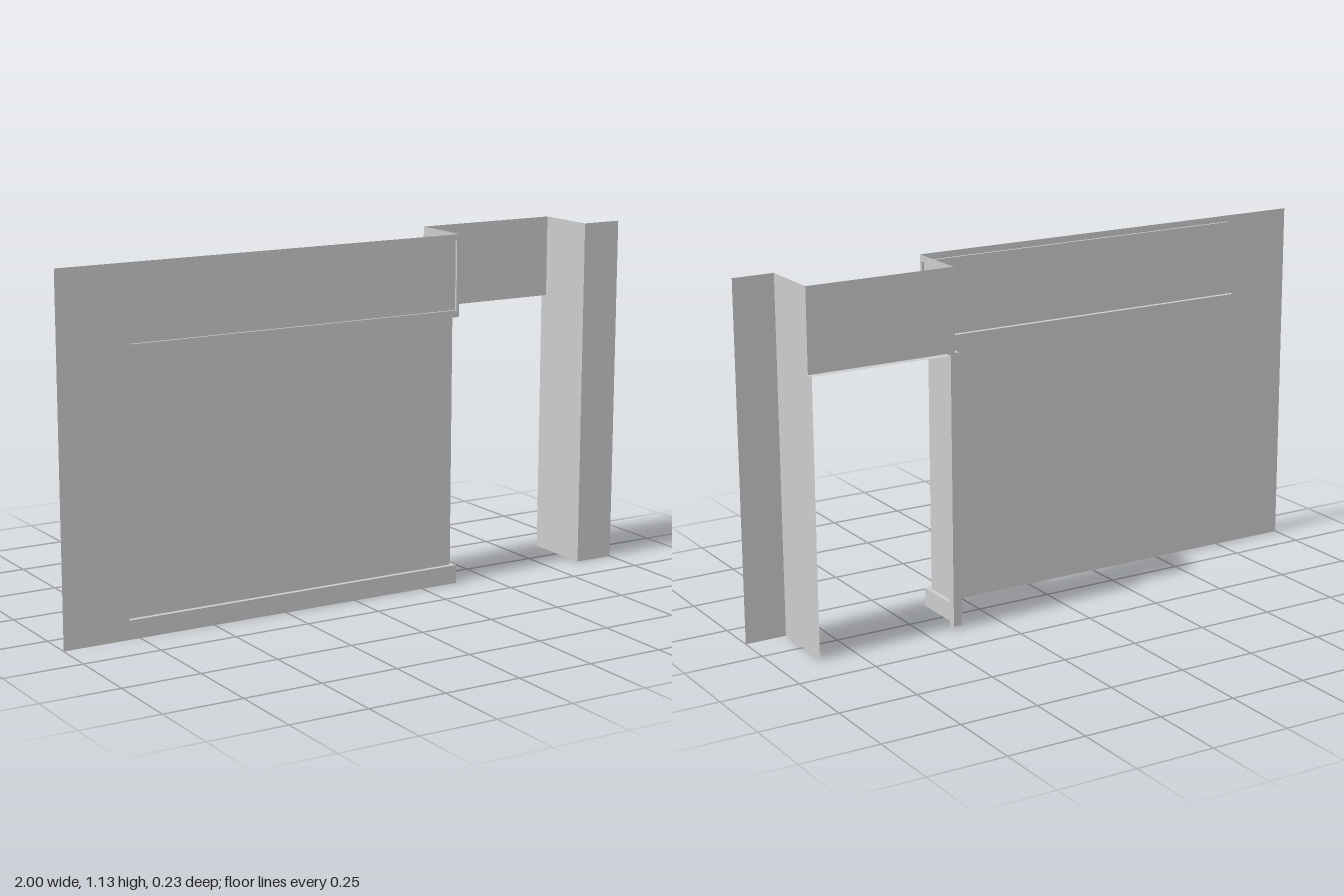
import * as THREE from 'three';

const material = new THREE.MeshStandardMaterial({ color: 0xcccccc, flatShading: true, side: THREE.DoubleSide });

const TOP = 1.13, HEAD = 0.868, SILL = 0.06;   // heights: wall top, opening head, window sill
const FRONT = 0.115, INNER = -0.09, BACK = -0.115; // depths: front wall, recessed wall, door reveal
const CORNER = 0.38, GLASS_X = 0.365, GLASS_Z = 0.1;
const WIN_L = -0.785, DOOR_L = 0.408, DOOR_R = 0.866;

export function createModel() {
  const model = new THREE.Group();
  model.name = 'shopFront';

  function add(name, geometry, parent = model) {
    const mesh = new THREE.Mesh(geometry, material);
    mesh.name = name;
    parent.add(mesh);
    return mesh;
  }

  // Thin upright wall following a plan path of [x, z] points
  function wall(name, path, y0, y1) {
    const pos = [];
    for (let i = 0; i < path.length - 1; i++) {
      const [ax, az] = path[i], [bx, bz] = path[i + 1];
      pos.push(ax, y0, az, bx, y0, bz, bx, y1, bz, ax, y0, az, bx, y1, bz, ax, y1, az);
    }
    const g = new THREE.BufferGeometry();
    g.setAttribute('position', new THREE.Float32BufferAttribute(pos, 3));
    g.computeVertexNormals();
    return add(name, g);
  }

  const outline = (points) => new THREE.Shape(points.map(([x, y]) => new THREE.Vector2(x, y)));
  const rect = (x0, y0, x1, y1) => [[x0, y0], [x1, y0], [x1, y1], [x0, y1]];

  // Level slab face from a plan outline of [x, z] points
  function ledge(name, points, y) {
    const g = new THREE.ShapeGeometry(outline(points.map(([x, z]) => [x, -z])));
    add(name, g.rotateX(-Math.PI / 2).translate(0, y, 0));
  }

  // Wall face with a shallow sunken panel; local x,y lie in the wall, -z goes in
  function panelledWall(name, points, hole, depth) {
    const group = new THREE.Group();
    group.name = name;
    const shape = outline(points);
    shape.holes.push(outline(rect(...hole)));
    add(name + 'Face', new THREE.ShapeGeometry(shape), group);
    const [x0, y0, x1, y1] = hole, w = x1 - x0, h = y1 - y0, cx = (x0 + x1) / 2, cy = (y0 + y1) / 2;
    add(name + 'Panel', new THREE.PlaneGeometry(w, h).translate(cx, cy, -depth), group);
    for (const s of [-1, 1]) {
      add(name + 'PanelEdge', new THREE.PlaneGeometry(depth, h).rotateY(-s * Math.PI / 2)
        .translate(cx + s * w / 2, cy, -depth / 2), group);
      add(name + 'PanelEdge', new THREE.PlaneGeometry(w, depth).rotateX(s * Math.PI / 2)
        .translate(cx, cy + s * h / 2, -depth / 2), group);
    }
    model.add(group);
    return group;
  }

  // Front wall, notched for the corner window, with the sign panel above
  panelledWall('frontWall', [
    [-1, 0], [CORNER, 0], [CORNER, SILL], [WIN_L, SILL],
    [WIN_L, HEAD], [CORNER, HEAD], [CORNER, TOP], [-1, TOP],
  ], [-0.765, 0.89, 0.37, 1.11], 0.008).position.z = FRONT;

  // Side sign wall above the returning window
  const side = panelledWall('sideSign', rect(-FRONT, HEAD, -INNER, TOP), [-0.105, 0.89, 0.08, 1.11], 0.008);
  side.rotation.y = Math.PI / 2;
  side.position.x = CORNER;

  // Corner window: plinth, glass, left reveal, sill and head
  wall('sidePlinth', [[CORNER, FRONT], [CORNER, INNER]], 0, SILL);
  wall('windowGlass', [[WIN_L, GLASS_Z], [GLASS_X, GLASS_Z], [GLASS_X, INNER]], SILL, HEAD);
  wall('windowReveal', [[WIN_L, FRONT], [WIN_L, GLASS_Z]], SILL, HEAD);
  const plan = [
    [WIN_L, FRONT], [CORNER, FRONT], [CORNER, INNER],
    [GLASS_X, INNER], [GLASS_X, GLASS_Z], [WIN_L, GLASS_Z],
  ];
  ledge('windowSill', plan, SILL);
  ledge('windowHead', plan, HEAD);

  // Doorway: left jamb, lintel wall, head reveal and right reveal
  wall('doorJamb', [[GLASS_X, INNER], [DOOR_L, INNER], [DOOR_L, BACK]], 0, HEAD);
  wall('doorLintel', [[CORNER, INNER], [DOOR_R, INNER]], HEAD, TOP);
  ledge('doorHead', rect(DOOR_L, BACK, DOOR_R, INNER), HEAD);
  wall('doorReveal', [[DOOR_R, INNER], [DOOR_R, BACK]], 0, HEAD);

  // Right pier returning to the front
  wall('rightPier', [[DOOR_R, INNER], [DOOR_R, FRONT], [1, FRONT]], 0, TOP);

  return model;
}
